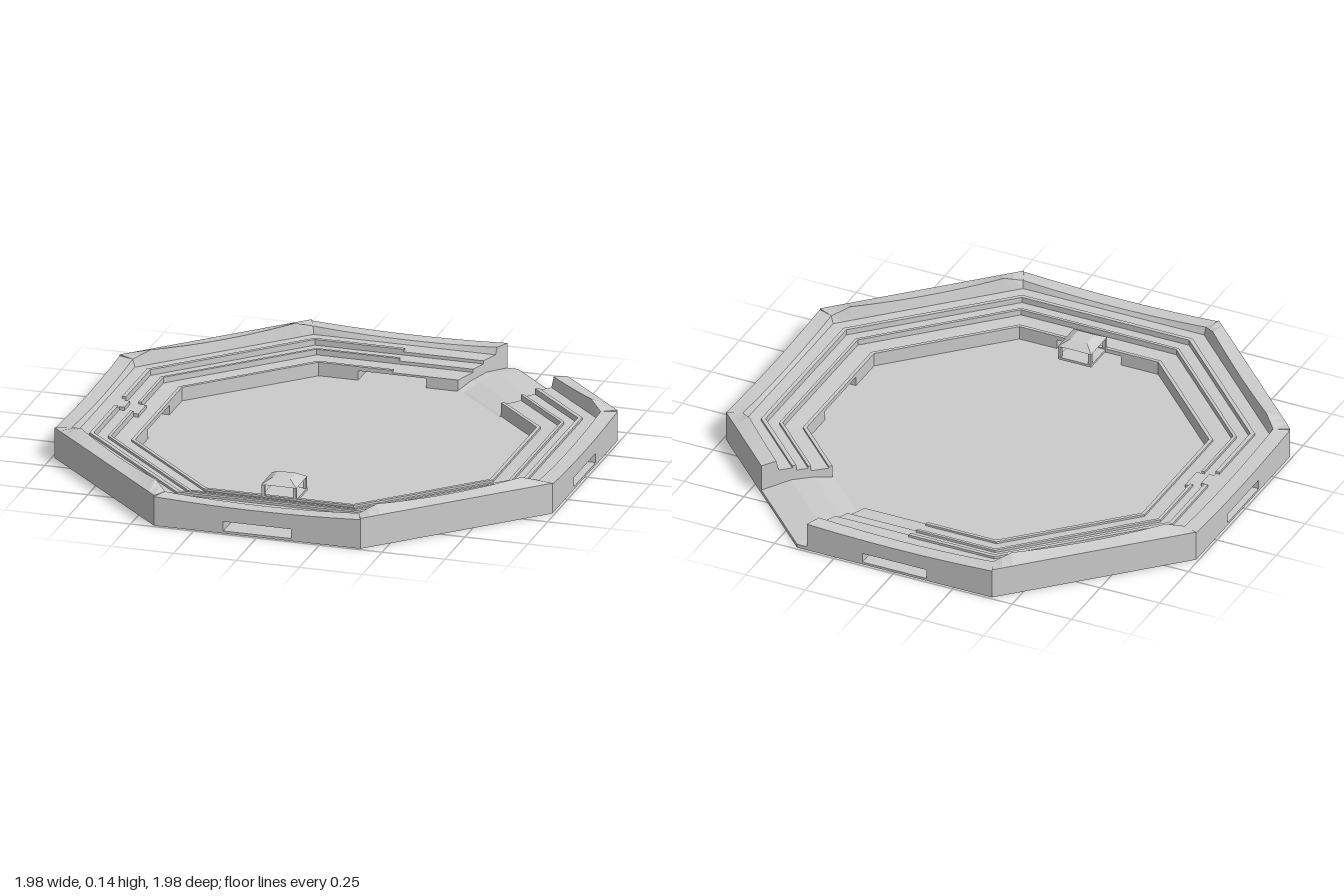
import * as THREE from 'three';

const T = Math.tan(Math.PI / 8);
const material = new THREE.MeshStandardMaterial({ color: 0xcccccc, flatShading: true });

// Sweeps a closed profile along one side of the octagon.
// from / to give the offset along the side for a given distance from the centre.
function sweep(name, side, from, to, profile, steps = 10) {
  const angle = side * Math.PI / 4, c = Math.cos(angle), s = Math.sin(angle);
  const section = u => {
    return profile.map(([a, y]) => {
      const t = THREE.MathUtils.lerp(from(a), to(a), u);
      const h = typeof y === 'function' ? y(t / (a * T), side) : y;
      return new THREE.Vector3(c * a - s * t, h, s * a + c * t);
    }).reverse();
  };
  const pos = [];
  const tri = (...pts) => pts.forEach(p => pos.push(p.x, p.y, p.z));
  let prev = section(0);
  const cap = (pts, flip) => {
    const flat = pts.map((p, i) => new THREE.Vector2(profile[profile.length - 1 - i][0], p.y));
    for (const [i, j, k] of THREE.ShapeUtils.triangulateShape(flat, [])) {
      if (flip) tri(pts[i], pts[k], pts[j]);
      else tri(pts[i], pts[j], pts[k]);
    }
  };
  cap(prev, true);
  for (let n = 1; n <= steps; n++) {
    const next = section(n / steps);
    prev.forEach((p, i) => {
      const j = (i + 1) % prev.length;
      tri(p, prev[j], next[j]);
      tri(p, next[j], next[i]);
    });
    prev = next;
  }
  cap(prev, false);
  const geometry = new THREE.BufferGeometry();
  geometry.setAttribute('position', new THREE.Float32BufferAttribute(pos, 3));
  geometry.computeVertexNormals();
  const mesh = new THREE.Mesh(geometry, material);
  mesh.name = name;
  return mesh;
}

// Rim heights: low and sagging on the straight sides, humped on the diagonals
const isDiagonal = side => Math.abs(side) % 2 === 1;
const outerTop = (s, side) => isDiagonal(side) ? 0.123 : 0.106 + 0.012 * s * s;
const crest = (s, side) => {
  const q = Math.abs(s);
  if (!isDiagonal(side)) return 0.106 + 0.014 * s * s;
  return q < 0.8 ? 0.132 + 0.013 * (q / 0.8) ** 2 : 0.145 - 0.025 * (q - 0.8) / 0.2;
};

// Three seating tiers and the rim, above a given underside
const stand = bottom => [
  [0.705, bottom], [0.705, 0.056], [0.79, 0.06], [0.79, 0.073], [0.85, 0.075],
  [0.85, 0.088], [0.92, 0.09], [0.93, crest], [0.99, outerTop], [0.99, bottom],
];

const corner = f => a => f * a * T;
const fixed = v => () => v;

function box(name, w, h, d, x, y, z) {
  const mesh = new THREE.Mesh(new THREE.BoxGeometry(w, h, d), material);
  mesh.position.set(x, y, z);
  mesh.name = name;
  return mesh;
}

export function createModel() {
  const model = new THREE.Group();
  model.name = 'arena';

  // Octagonal ground slab
  const slab = new THREE.CylinderGeometry(0.99 / Math.cos(Math.PI / 8), 0.99 / Math.cos(Math.PI / 8), 0.01, 8);
  slab.rotateY(Math.PI / 8).translate(0, 0.005, 0);
  const floor = new THREE.Mesh(slab, material);
  floor.name = 'arenaFloor';
  model.add(floor);

  const stands = new THREE.Group();
  stands.name = 'stands';
  const parapets = new THREE.Group();
  parapets.name = 'parapets';
  model.add(stands, parapets);

  const NORTH = -2, BREACH = -1, WEST = 4;
  const half = 0.135;
  for (let side = -3; side <= 4; side++) {
    const start = side === BREACH ? fixed(0) : corner(-1);
    const end = side === NORTH ? corner(0.9) : corner(1);

    // Seating, with a tunnel through the middle of each straight side
    if (isDiagonal(side)) {
      stands.add(sweep('stand', side, start, end, stand(0.01), 20));
    } else {
      stands.add(sweep('stand', side, start, fixed(-half), stand(0.01)));
      stands.add(sweep('tunnelRoof', side, fixed(-half), fixed(half), stand(0.048)));
      stands.add(sweep('stand', side, fixed(half), end, stand(0.01)));
    }

    // Low parapets along the tier edges
    for (const [a, y, w] of [[0.705, 0.05, 0.014], [0.79, 0.068, 0.012], [0.85, 0.083, 0.016]]) {
      const bar = [[a, y], [a, y + 0.015], [a + w, y + 0.015], [a + w, y]];
      if (side === WEST && a > 0.75) {
        parapets.add(sweep('parapet', side, start, fixed(-0.05), bar, 1));
        parapets.add(sweep('parapet', side, fixed(0.05), end, bar, 1));
      } else {
        parapets.add(sweep('parapet', side, start, side === NORTH ? fixed(0) : end, bar, 1));
      }
    }
  }

  // Low rubble slope inside the breach
  const rubble = [[0.69, 0.008], [0.705, 0.014], [0.78, 0.03], [0.87, 0.036], [0.99, 0.015], [0.99, 0.008]];
  model.add(sweep('rubble', BREACH, corner(-1), fixed(0), rubble, 4));
  model.add(sweep('rubble', NORTH, corner(0.9), corner(1), rubble, 1));

  // Short stair crossing the tiers on one side
  model.add(box('stairStep', 0.05, 0.014, 0.1, -0.795, 0.066, 0));
  model.add(box('stairStep', 0.04, 0.014, 0.07, -0.85, 0.081, 0));

  // Covered viewing box projecting over the arena floor
  const lodge = new THREE.Group();
  lodge.name = 'viewingBox';
  lodge.position.set(0, 0, 0.65);
  lodge.add(box('lodgeFloor', 0.14, 0.01, 0.14, 0, 0.056, 0));
  for (const x of [-1, 1]) {
    for (const z of [-1, 1]) lodge.add(box('lodgePost', 0.012, 0.05, 0.012, x * 0.063, 0.083, z * 0.063));
  }
  const roofShape = new THREE.CylinderGeometry(0.035 * Math.SQRT2, 0.07 * Math.SQRT2, 0.022, 4);
  roofShape.rotateY(Math.PI / 4);
  const roof = new THREE.Mesh(roofShape, material);
  roof.name = 'lodgeRoof';
  roof.position.y = 0.119;
  lodge.add(roof);
  model.add(lodge);

  return model;
}
